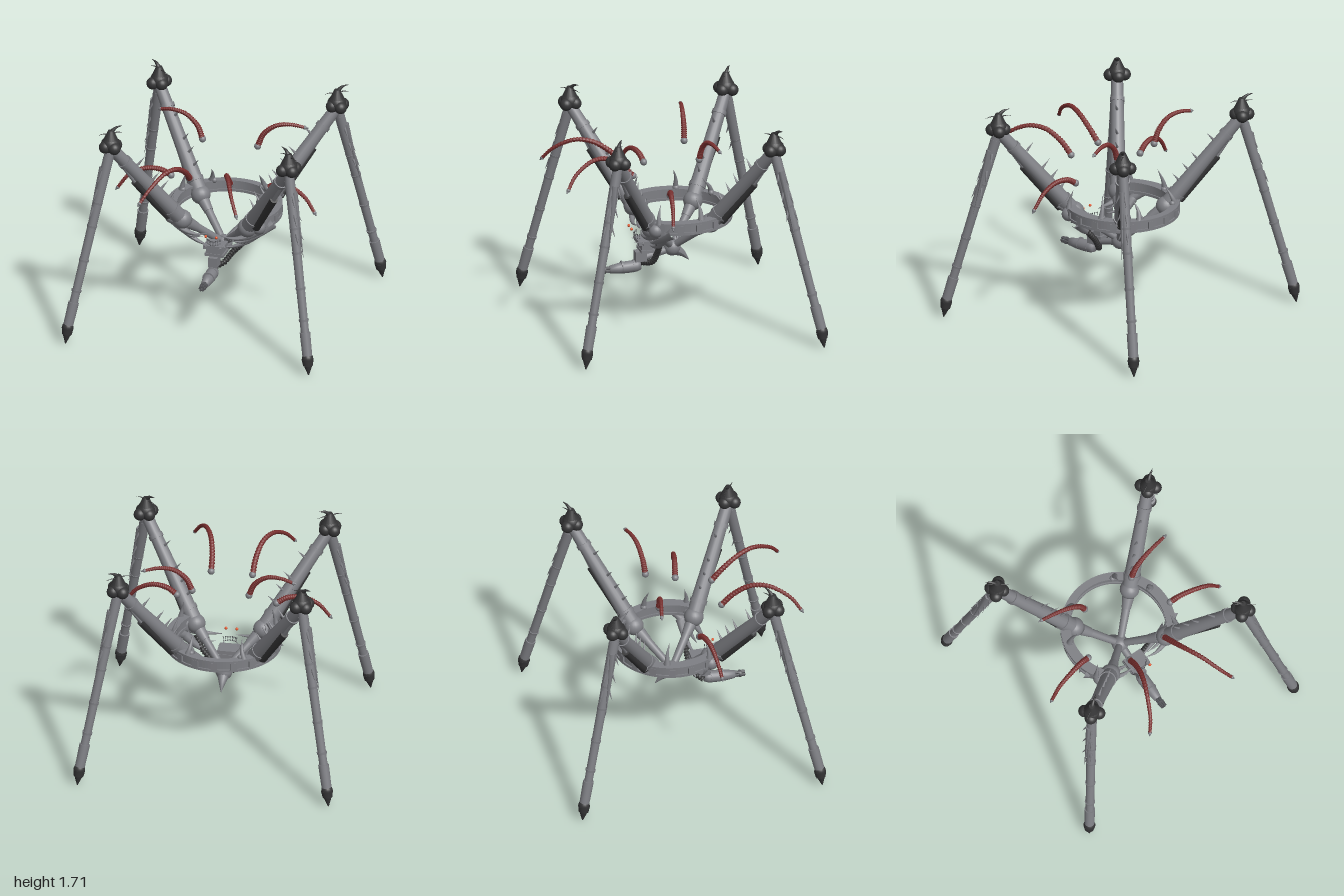
import * as THREE from 'three';

const mat = (name, color) => Object.assign(new THREE.MeshStandardMaterial({ color }), { name });
const steel = mat('steel grey', 0x7e7f84);
const dark = mat('dark iron', 0x353536);
const gunmetal = mat('gunmetal', 0x55565a);
const red = mat('hose red', 0x7a302f);
const glow = mat('eye orange', 0xe0552a);

const V = (x, y, z) => new THREE.Vector3(x, y, z);
const UP = V(0, 1, 0);

function add(parent, name, geo, material, pos) {
  const m = new THREE.Mesh(geo, material);
  m.name = name;
  if (pos) m.position.copy(pos);
  parent.add(m);
  return m;
}
// Tapered cylinder between two points
function rod(parent, name, a, b, ra, rb, material = steel, sides = 16) {
  const d = b.clone().sub(a);
  const m = add(parent, name, new THREE.CylinderGeometry(rb, ra, d.length(), sides), material,
    a.clone().lerp(b, 0.5));
  m.quaternion.setFromUnitVectors(UP, d.normalize());
  return m;
}
const ball = (parent, name, p, r, material = steel) =>
  add(parent, name, new THREE.SphereGeometry(r, 20, 14), material, p);

// Tube along a curve whose radius follows a rule of t
function sweep(parent, name, pts, radius, material = steel, seg = 16, sides = 10) {
  const curve = new THREE.CatmullRomCurve3(pts);
  const geo = new THREE.TubeGeometry(curve, seg, 1, sides);
  const p = geo.attributes.position, v = V(0, 0, 0);
  for (let i = 0; i <= seg; i++) {
    const c = curve.getPointAt(i / seg), r = radius(i / seg, i);
    for (let j = 0; j <= sides; j++) {
      const k = i * (sides + 1) + j;
      v.fromBufferAttribute(p, k).sub(c).multiplyScalar(r).add(c);
      p.setXYZ(k, v.x, v.y, v.z);
    }
  }
  geo.computeVertexNormals();
  return add(parent, name, geo, material);
}
const horn = (parent, name, pts, r, material = steel) =>
  sweep(parent, name, pts, t => r * (1 - t) + 0.0005, material);

function leg(sx, sz) {
  const g = new THREE.Group();
  g.name = (sz > 0 ? 'front' : 'back') + (sx > 0 ? 'Left' : 'Right') + 'Leg';
  const P = (x, y, z) => V(sx * x, y, sz * z);
  const hip = P(0.26, 0.83, 0.235), knee = P(0.71, 1.53, 0.615), ankle = P(0.957, 0.13, 0.925);
  const up = t => hip.clone().lerp(knee, t), low = t => knee.clone().lerp(ankle, t);

  // Thigh with collars and thorns
  ball(g, 'hip', hip, 0.075);
  rod(g, 'thigh', hip, knee, 0.062, 0.045);
  for (const t of [0.12, 0.78]) rod(g, 'thighCollar', up(t), up(t + 0.035), 0.068 - t * 0.015, 0.068 - t * 0.015);
  for (const t of [0.25, 0.37, 0.49, 0.7]) {
    const a = up(t);
    rod(g, 'thighThorn', a.clone().add(P(-0.035, 0.03, -0.025)), a.clone().add(P(-0.085, 0.095, -0.05)), 0.011, 0, steel, 8);
  }
  // Hydraulic ram beneath the thigh
  rod(g, 'ramSleeve', P(0.35, 0.87, 0.3), P(0.555, 1.22, 0.5), 0.031, 0.031, dark);
  rod(g, 'ramRod', P(0.55, 1.21, 0.495), P(0.7, 1.5, 0.62), 0.016, 0.016);
  rod(g, 'ramMount', P(0.27, 0.82, 0.24), P(0.37, 0.9, 0.31), 0.03, 0.03);

  // Knee cluster
  ball(g, 'kneeCore', P(0.71, 1.56, 0.615), 0.07, dark);
  for (const [x, z] of [[0.04, -0.04], [-0.04, 0.04], [0.035, 0.035], [-0.03, -0.035]])
    ball(g, 'kneeLobe', P(0.71 + x, 1.545, 0.615 + z), 0.048, dark);
  rod(g, 'kneeCap', P(0.71, 1.58, 0.615), P(0.71, 1.675, 0.615), 0.066, 0.022, dark);
  const k = (dx, y, dz) => V(sx * (0.71 + dx * -sz), y, sz * 0.615 + dz);
  horn(g, 'kneeHorn', [k(0, 1.62, 0), k(0.008, 1.665, -0.006), k(0.035, 1.695, -0.025), k(0.075, 1.705, -0.05)], 0.026, dark);
  for (const s of [-1, 1])
    horn(g, 'kneeBristle', [k(0, 1.64, 0), k(s * 0.04, 1.655, s * -0.03), k(s * 0.085, 1.645, s * -0.055)], 0.007, dark);

  // Shin with bands, thorns and outer blade
  rod(g, 'shin', low(0), low(1), 0.038, 0.031);
  rod(g, 'shinGuard', low(0.05), low(0.42), 0.04, 0.035);
  for (const t of [0.3, 0.43, 0.62, 0.79]) rod(g, 'shinBand', low(t), low(t + 0.012), 0.04, 0.037);
  rod(g, 'ankleSleeve', low(0.86), low(1), 0.041, 0.038);
  rod(g, 'shinBlade', P(0.765, 1.38, 0.655), P(0.867, 0.86, 0.735), 0.026, 0, steel, 6);
  for (const t of [0.14, 0.24, 0.34]) {
    const a = low(t);
    rod(g, 'shinThorn', a.clone().add(P(0.015, 0.02, 0.02)), a.clone().add(P(0.045, -0.075, 0.055)), 0.014, 0, steel, 8);
    rod(g, 'innerThorn', a.clone().add(P(0.02, 0.02, -0.025)), a.clone().add(P(0.055, -0.06, -0.045)), 0.011, 0, steel, 8);
  }
  // Foot
  ball(g, 'ankle', ankle, 0.044, dark);
  rod(g, 'footCollar', P(0.957, 0.125, 0.925), P(0.962, 0.075, 0.93), 0.046, 0.038, dark);
  rod(g, 'footSpike', P(0.962, 0.08, 0.93), P(0.97, 0, 0.94), 0.034, 0.004, dark);

  // Strut to the hub
  rod(g, 'strut', hip, V(0, 0.57, 0), 0.036, 0.026);
  rod(g, 'strutCollar', up(0).lerp(V(0, 0.57, 0), 0.15), up(0).lerp(V(0, 0.57, 0), 0.35), 0.046, 0.036);
  return g;
}

// Open hoop slab at height y, grown outward and inward by e
function hoopSlab(parent, name, y, h, e) {
  const s = new THREE.Shape(), a = 0.62;
  s.absellipse(0, 0.02, 0.43 + e, 0.43 + e, -a, Math.PI + a, false);
  s.absellipse(0, 0.02, 0.37 - e, 0.395 - e, Math.PI + a, -a, true);
  const geo = new THREE.ExtrudeGeometry(s, { depth: h, bevelEnabled: false, curveSegments: 40 });
  geo.rotateX(-Math.PI / 2);
  add(parent, name, geo, steel, V(0, y, 0));
}

function hoop() {
  const g = new THREE.Group();
  g.name = 'bodyHoop';
  hoopSlab(g, 'hoopWeb', 0.82, 0.075, 0);
  hoopSlab(g, 'hoopUpperLip', 0.882, 0.02, 0.01);
  hoopSlab(g, 'hoopLowerLip', 0.81, 0.02, 0.01);
  // Studs around the outside
  for (let i = 0; i <= 12; i++) {
    const a = -0.5 + i * (Math.PI + 1) / 12;
    const m = add(g, 'hoopStud', new THREE.BoxGeometry(0.02, 0.055, 0.05), steel,
      V(0.432 * Math.cos(a), 0.856, -0.02 - 0.432 * Math.sin(a)));
    m.rotation.y = a;
  }
  for (const s of [-1, 1]) {
    ball(g, 'hoopEnd', V(s * 0.345, 0.835, 0.22), 0.055);
    ball(g, 'spineBase', V(s * 0.19, 0.905, -0.36), 0.022);
    horn(g, 'backSpine', [V(s * 0.22, 0.88, -0.37), V(s * 0.2, 0.95, -0.35), V(s * 0.19, 1.03, -0.29)], 0.026);
    ball(g, 'spineBase', V(s * 0.37, 0.905, -0.13), 0.026);
    horn(g, 'sideSpine', [V(s * 0.38, 0.9, -0.13), V(s * 0.36, 0.98, -0.125), V(s * 0.33, 1.07, -0.1)], 0.024);
    horn(g, 'frontSpine', [V(s * 0.37, 0.89, 0.2), V(s * 0.36, 0.95, 0.2), V(s * 0.34, 1.04, 0.18)], 0.022);
    // Ribs curling inward around the head
    horn(g, 'upperRib', [V(s * 0.36, 0.82, 0.2), V(s * 0.24, 0.75, 0.25), V(s * 0.14, 0.735, 0.27), V(s * 0.05, 0.745, 0.26)], 0.042);
    horn(g, 'middleRib', [V(s * 0.42, 0.83, 0.1), V(s * 0.3, 0.74, 0.18), V(s * 0.2, 0.69, 0.21), V(s * 0.1, 0.7, 0.22)], 0.045);
    horn(g, 'lowerRib', [V(s * 0.33, 0.77, 0.15), V(s * 0.22, 0.67, 0.16), V(s * 0.13, 0.63, 0.18), V(s * 0.04, 0.62, 0.2)], 0.04);
    rod(g, 'sideThorn', V(s * 0.39, 0.82, 0.06), V(s * 0.445, 0.79, 0.08), 0.025, 0);
  }
  return g;
}

function head() {
  const g = new THREE.Group();
  g.name = 'head';
  // Hub, tail hook and neck
  ball(g, 'hub', V(0, 0.565, 0), 0.065);
  horn(g, 'tailHook', [V(0, 0.55, -0.02), V(0, 0.51, -0.08), V(0, 0.45, -0.135)], 0.05);
  rod(g, 'neck', V(0, 0.56, 0), V(0, 0.49, 0.27), 0.03, 0.024);
  // Stacked jaw frame
  for (const [w, h, d, y, z] of [[0.16, 0.03, 0.13, 0.64, 0.215], [0.13, 0.05, 0.11, 0.6, 0.2], [0.15, 0.022, 0.13, 0.57, 0.195], [0.07, 0.08, 0.09, 0.52, 0.25]])
    add(g, 'jawBlock', new THREE.BoxGeometry(w, h, d), steel, V(0, y, z));
  for (const s of [-1, 1]) {
    rod(g, 'jawFang', V(s * 0.07, 0.64, 0.24), V(s * 0.05, 0.65, 0.31), 0.018, 0);
    ball(g, 'eye', V(s * 0.042, 0.755, 0.33), 0.011, glow);
  }
  // Two rows of teeth
  for (let i = -4; i <= 4; i++) {
    const x = i * 0.013, z = 0.3 - i * i * 0.002;
    rod(g, 'upperTooth', V(x, 0.705 + i * i * 0.0005, z), V(x, 0.688, z), 0.005, 0.001, gunmetal, 6);
    rod(g, 'lowerTooth', V(x, 0.667 + i * i * 0.0005, z), V(x, 0.683, z), 0.005, 0.001, gunmetal, 6);
  }
  // Cannon
  const profile = [[0, 0], [0.034, 0], [0.045, 0.03], [0.046, 0.11], [0.04, 0.18], [0.03, 0.24], [0, 0.24]];
  const geo = new THREE.LatheGeometry(profile.map(p => new THREE.Vector2(...p)), 20);
  geo.rotateX(Math.PI / 2);
  add(g, 'cannonBody', geo, steel, V(0, 0.442, 0.25)).rotation.x = 0.06;
  for (const z of [0.3, 0.39]) rod(g, 'cannonBand', V(0, 0.44, z), V(0, 0.44, z + 0.012), 0.048, 0.048);
  for (let i = 0; i < 6; i++) {
    const a = i * Math.PI / 3, x = 0.017 * Math.cos(a), y = 0.427 + 0.017 * Math.sin(a);
    rod(g, 'barrel', V(x, y, 0.47), V(x, y, 0.57), 0.008, 0.008, gunmetal, 10);
  }
  rod(g, 'muzzleBand', V(0, 0.427, 0.525), V(0, 0.427, 0.54), 0.028, 0.028, gunmetal);
  // Ammunition feed
  sweep(g, 'feedChain', [V(0.25, 0.75, 0.2), V(0.19, 0.65, 0.155), V(0.11, 0.56, 0.15), V(0.05, 0.48, 0.17), V(-0.04, 0.45, 0.24)],
    (t, i) => (i % 3 ? 0.024 : 0.015), dark, 60);
  return g;
}

// Ribbed hose with a ball root and a pointed tip
function tentacle(name, s, pts) {
  const g = new THREE.Group();
  g.name = name;
  const p = pts.map(([x, y, z]) => V(s * x, y, z)), n = p.length;
  sweep(g, 'hose', p, (t, i) => (0.024 - 0.011 * t) * (i % 3 ? 1 : 0.75), red, 90);
  ball(g, 'hoseRoot', p[0], 0.027);
  const d = p[n - 1].clone().sub(p[n - 2]).normalize();
  ball(g, 'hoseCap', p[n - 1], 0.015);
  rod(g, 'hoseTip', p[n - 1], p[n - 1].clone().addScaledVector(d, 0.028), 0.013, 0.004);
  return g;
}

export function createModel() {
  const model = new THREE.Group();
  model.name = 'walker';
  model.add(hoop(), head());
  for (const s of [-1, 1]) {
    model.add(leg(s, 1), leg(s, -1));
    model.add(tentacle('frontTentacle', s, [[0.16, 1.23, 0.35], [0.168, 1.32, 0.44], [0.2, 1.4, 0.57], [0.255, 1.41, 0.7], [0.33, 1.33, 0.85], [0.385, 1.24, 0.92]]));
    model.add(tentacle('sideTentacle', s, [[0.385, 1.13, 0.12], [0.46, 1.175, 0.135], [0.58, 1.18, 0.16], [0.7, 1.12, 0.18], [0.785, 1.01, 0.2]]));
    model.add(tentacle('backTentacle', s, [[0.22, 1.335, -0.155], [0.265, 1.44, -0.165], [0.36, 1.515, -0.18], [0.47, 1.53, -0.2], [0.575, 1.51, -0.222]]));
  }
  return model;
}
